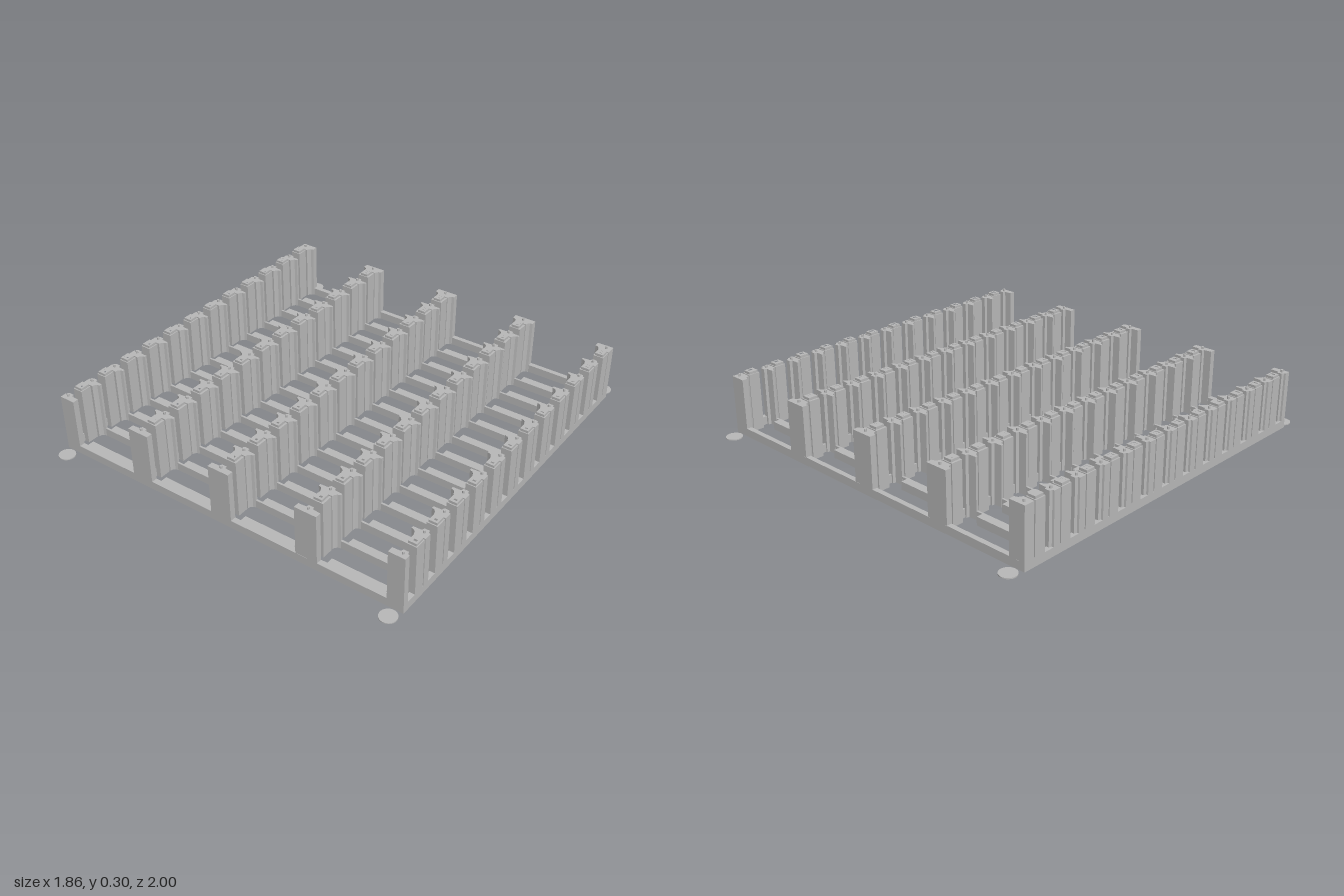
import * as THREE from 'three';

const grey = new THREE.MeshStandardMaterial({ color: 0xb8b8b8 });
grey.name = 'plain grey';

const BASE = 0.04;    // height of the grid bars
const POST = 0.285;   // height of the posts
const TIP = 0.297;    // top of caps and pegs
const EDGE_X = 0.928, EDGE_Z = 0.913;
const COLUMNS = [-0.903, -0.453, 0, 0.453, 0.903];
const ROWS = Array.from({ length: 13 }, (_, i) => (i - 6) * 0.1483);

export function createModel() {
  const model = new THREE.Group();
  model.name = 'slottedRack';

  function add(name, geometry, x = 0, y = 0, z = 0) {
    const mesh = new THREE.Mesh(geometry, grey);
    mesh.name = name;
    mesh.position.set(x, y, z);
    model.add(mesh);
  }
  // Box given by its limits
  function bar(name, x0, x1, y0, y1, z0, z1) {
    add(name, new THREE.BoxGeometry(x1 - x0, y1 - y0, z1 - z0),
      (x0 + x1) / 2, (y0 + y1) / 2, (z0 + z1) / 2);
  }
  // Upright prism from a plan outline of [x, z] points, with optional hole
  function prism(outline, height, hole) {
    const toPoints = (list) => list.map(([x, z]) => new THREE.Vector2(x, -z));
    const shape = new THREE.Shape(toPoints(outline));
    if (hole) shape.holes.push(new THREE.Path(toPoints(hole)));
    const geometry = new THREE.ExtrudeGeometry(shape, { depth: height, bevelEnabled: false });
    return geometry.rotateX(-Math.PI / 2);
  }
  const square = (h, d = h) => [[-h, -d], [h, -d], [h, d], [-h, d]];

  // Outer frame
  for (const s of [-1, 1]) {
    const z = s * (EDGE_Z - 0.0125);
    bar('endRail', -EDGE_X, EDGE_X, 0, BASE, z - 0.0125, z + 0.0125);
    const x = s * (EDGE_X - 0.013);
    bar('sideRail', x - 0.013, x + 0.013, 0, BASE, -EDGE_Z, EDGE_Z);
  }

  // Cross bars with a wide shelf strip in every bay
  ROWS.forEach((z, r) => {
    if (r === 0) return;
    bar('crossBar', -0.91, 0.91, 0, BASE, z - 0.005, z + 0.005);
    for (let b = 0; b < 4; b++) {
      const x = (b - 1.5) * 0.455;
      bar('shelfStrip', x - 0.142, x + 0.142, 0, BASE, z - 0.037, z - 0.004);
    }
  });

  // Spines joining the rows
  for (const x of COLUMNS.slice(1, 4)) {
    bar('spine', x - 0.005, x + 0.005, 0, BASE, -0.9, 0.9);
  }

  // Guide posts, and hollow square posts just in front of them
  const guide = [[-0.012, -0.021], [0.012, -0.021], [0.016, -0.008], [0.055, -0.006],
    [0.055, 0.005], [0.042, 0.009], [0.033, 0.018], [0.03, 0.029],
    [-0.03, 0.029], [-0.033, 0.018], [-0.042, 0.009], [-0.055, 0.005],
    [-0.055, -0.006], [-0.016, -0.008]];
  const peg = new THREE.CylinderGeometry(0.006, 0.006, TIP - POST, 12);
  const cap = prism(square(0.02, 0.023), TIP - POST, square(0.011));
  for (const cx of COLUMNS) {
    const outer = Math.abs(cx) > 0.8;
    const half = outer ? 0.025 : 0.03;
    const clipX = (x) => Math.max(-EDGE_X - cx, Math.min(EDGE_X - cx, x));
    const tube = prism(square(half, 0.028), POST, square(0.011));
    const foot = prism(square(0.012, 0.008), BASE);
    ROWS.forEach((z, r) => {
      const last = r === ROWS.length - 1;
      const lo = r === 0 ? -0.023 : -0.021;
      const hi = last ? 0.023 : 0.029;
      // End rows sit flush with the end rails
      const outline = guide.map(([x, d]) => {
        if (r === 0 && d < -0.02) return [clipX(Math.sign(x) * 0.055), lo];
        if (r === 0 && d < -0.005) return [clipX(Math.sign(x) * 0.055), d];
        if (last && d > 0.004) return [clipX(Math.sign(x) * 0.055), Math.min(d, hi)];
        return [clipX(x), Math.min(d, hi)];
      }).filter((p, i, a) => {
        const q = a[(i + a.length - 1) % a.length];
        return Math.hypot(p[0] - q[0], p[1] - q[1]) > 1e-5;
      });
      add('guidePost', prism(outline, POST), cx, 0, z);
      add('guidePeg', peg, cx, (POST + TIP) / 2, z);
      if (last) return;
      add('squarePost', tube, cx, 0, z + 0.063);
      add('squarePostCap', cap, cx, POST, z + 0.063);
      add('postFoot', foot, cx, 0, z + 0.032);
    });
  }

  // Thin round pads outside the corners
  const pad = new THREE.CylinderGeometry(0.04, 0.04, 0.005, 32);
  for (const x of [-0.888, 0.888]) {
    for (const z of [-0.96, 0.96]) add('cornerPad', pad, x, 0.0025, z);
  }
  return model;
}
